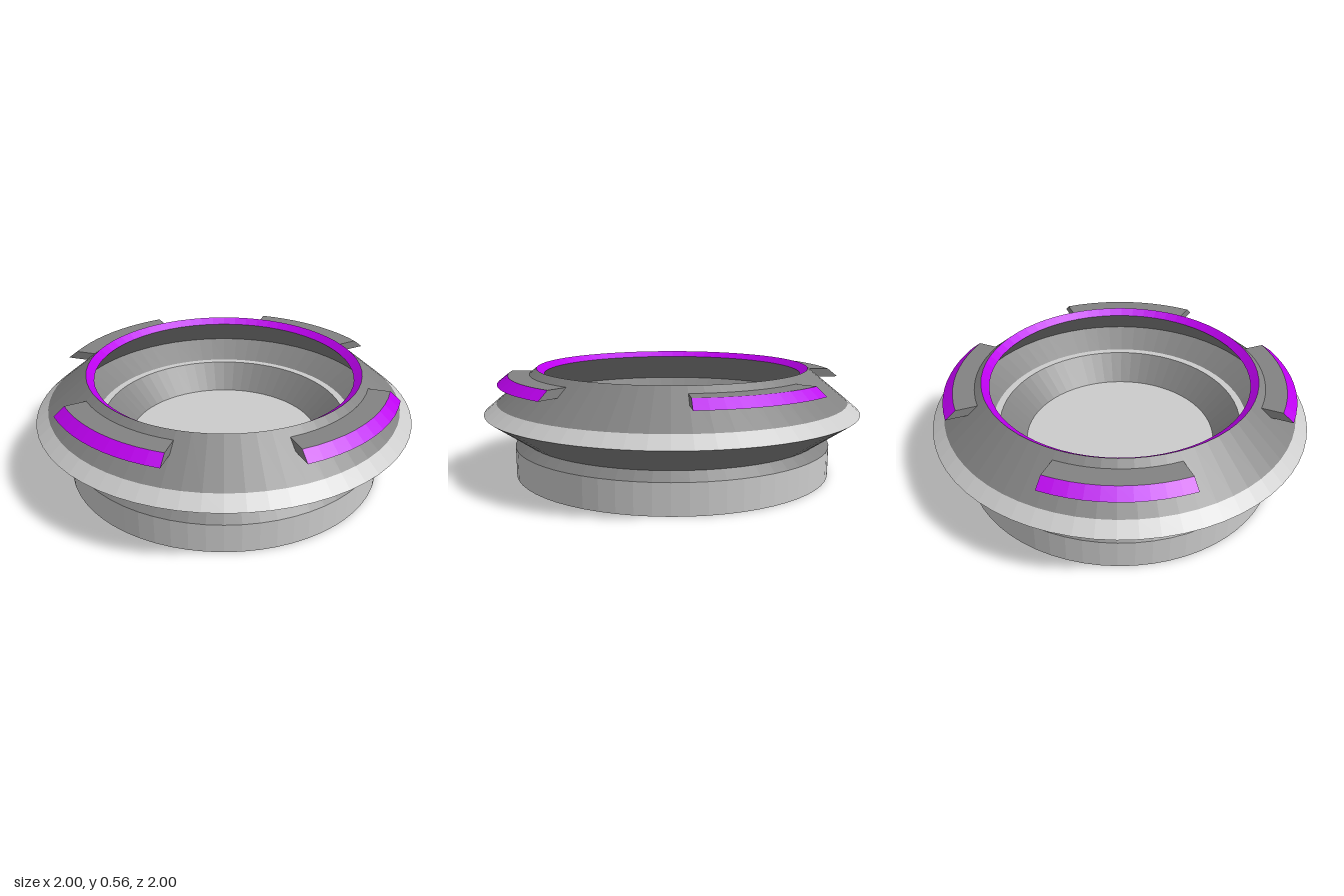
import * as THREE from 'three';

const material = (color) => new THREE.MeshStandardMaterial({ color, flatShading: true, side: THREE.DoubleSide });
const light = material(0xcccccc);
const dark = material(0x828282);
const purple = material(0xbc00ee);
const SEGMENTS = 64;
const DEG = Math.PI / 180;

// Revolve [radius, height] points around y, fully or over an arc
function revolve(name, profile, material, segments = SEGMENTS, start = 0, length = Math.PI * 2) {
  const points = profile.map(([r, y]) => new THREE.Vector2(r, y));
  const mesh = new THREE.Mesh(new THREE.LatheGeometry(points, segments, start, length), material);
  mesh.name = name;
  return mesh;
}

// Curved pad with a sloped coloured strip along its outer edge
function createPad(name, heading, from, to) {
  const pad = new THREE.Group();
  pad.name = name;
  const start = from * DEG;
  const length = (to - from) * DEG;
  const innerLow = [0.8, 0.486], outerLow = [0.928, 0.486];
  const outerTop = [0.872, 0.53], innerTop = [0.762, 0.53];
  pad.add(revolve('padBottom', [innerLow, outerLow], dark, 10, start, length));
  pad.add(revolve('padStrip', [outerLow, outerTop], purple, 10, start, length));
  pad.add(revolve('padTop', [outerTop, innerTop], dark, 10, start, length));

  // Flat end caps
  const section = new THREE.Shape([innerLow, outerLow, outerTop, innerTop].map(([r, y]) => new THREE.Vector2(r, y)));
  for (const angle of [start, start + length]) {
    const cap = new THREE.Mesh(new THREE.ShapeGeometry(section), dark);
    cap.name = 'padEnd';
    cap.rotation.y = angle - Math.PI / 2;
    pad.add(cap);
  }
  pad.rotation.y = heading * DEG;
  return pad;
}

export function createModel() {
  const model = new THREE.Group();
  model.name = 'roundBasin';

  // Base drum: dark underside, light wall, dark chamfered shoulder
  model.add(revolve('baseUnderside', [[0, 0], [0.848, 0]], dark));
  model.add(revolve('baseWall', [[0.848, 0], [0.848, 0.155]], light));
  model.add(revolve('baseShoulder', [[0.848, 0.155], [0.8, 0.195]], dark));

  // Flared outer shell with a light band above its widest edge
  model.add(revolve('shellUnderside', [[0.8, 0.195], [1, 0.335]], dark));
  model.add(revolve('shellBand', [[1, 0.335], [0.934, 0.39]], light));
  model.add(revolve('shellSlope', [[0.934, 0.39], [0.725, 0.56]], dark));

  // Coloured chamfer around the opening
  model.add(revolve('rimRing', [[0.725, 0.56], [0.685, 0.53]], purple));

  // Undercut wall, light ledge, sloped bowl and light floor
  model.add(revolve('innerWall', [[0.685, 0.53], [0.835, 0.372], [0.695, 0.285]], dark));
  model.add(revolve('innerLedge', [[0.695, 0.285], [0.655, 0.285]], light));
  model.add(revolve('bowlSlope', [[0.655, 0.285], [0.52, 0.153]], dark));
  model.add(revolve('bowlFloor', [[0.52, 0.153], [0, 0.153]], light));

  // Four pads around the upper slope; the front one is longer on one side
  model.add(createPad('frontPad', 0, -28, 22.5));
  model.add(createPad('leftPad', 90, -22.5, 22.5));
  model.add(createPad('backPad', 180, -22.5, 22.5));
  model.add(createPad('rightPad', 270, -22.5, 22.5));

  return model;
}
